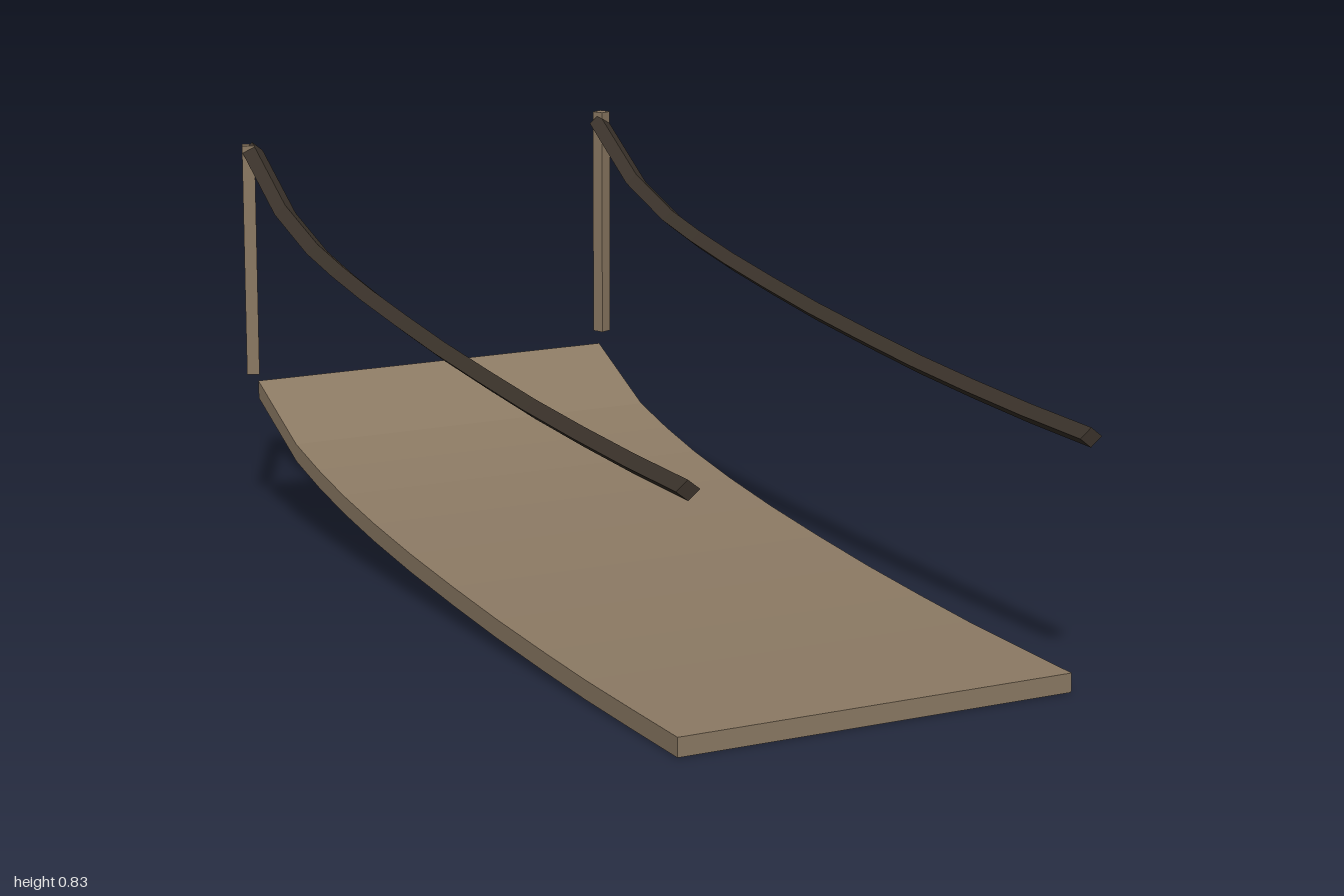
import * as THREE from 'three';

// Sweep a convex section (counter-clockwise, x/y) through [z, y] stations running front to back
function sweep(section, path) {
  const n = section.length, pos = [], idx = [];
  for (const [z, y] of path) for (const [sx, sy] of section) pos.push(sx, y + sy, z);
  for (let r = 0; r < path.length - 1; r++) {
    for (let i = 0; i < n; i++) {
      const a = r * n + i, b = r * n + (i + 1) % n, c = a + n, d = b + n;
      idx.push(a, c, b, b, c, d);
    }
  }
  const last = (path.length - 1) * n;
  for (let i = 1; i < n - 1; i++) {
    idx.push(0, i, i + 1);
    idx.push(last, last + i + 1, last + i);
  }
  const g = new THREE.BufferGeometry();
  g.setAttribute('position', new THREE.Float32BufferAttribute(pos, 3));
  g.setIndex(idx);
  return faceted(g);
}

// Flat facets with hard edges
function faceted(geometry) {
  const g = geometry.toNonIndexed();
  g.computeVertexNormals();
  return g;
}

export function createModel() {
  const model = new THREE.Group();
  const wood = new THREE.MeshStandardMaterial({ color: 0x8b7963 });
  wood.name = 'weathered wood';
  const dark = new THREE.MeshStandardMaterial({ color: 0x3a322a });
  dark.name = 'dark rail';

  const add = (name, geometry, material) => {
    const mesh = new THREE.Mesh(geometry, material);
    mesh.name = name;
    model.add(mesh);
    return mesh;
  };

  // Curved deck slab: stations give the top surface
  const deckPath = [[0.96, 0.04], [0.78, 0.043], [0.6, 0.047], [0.42, 0.055], [0.22, 0.066],
    [0.02, 0.081], [-0.18, 0.099], [-0.36, 0.12], [-0.52, 0.144], [-0.65, 0.17],
    [-0.77, 0.2], [-0.977, 0.298]];
  add('deck', sweep([[-0.418, -0.038], [0.418, -0.038], [0.418, 0], [-0.418, 0]], deckPath), wood);

  // Diamond-section handrails following the deck's rise
  const railPath = [[1, 0.501], [0.8, 0.504], [0.6, 0.511], [0.4, 0.521], [0.2, 0.536],
    [0, 0.553], [-0.18, 0.573], [-0.35, 0.594], [-0.5, 0.617], [-0.63, 0.642],
    [-0.8, 0.697], [-0.978, 0.806]];
  const diamond = [[0, -0.019], [0.024, 0], [0, 0.019], [-0.024, 0]];

  for (const side of [-1, 1]) {
    const label = side < 0 ? 'right' : 'left';
    add(label + 'Handrail', sweep(diamond, railPath), dark).position.x = side * 0.42;

    // Square post at the raised end, slightly twisted
    const post = new THREE.CylinderGeometry(0.019, 0.019, 0.504, 4, 1, false, -side * 0.4);
    add(label + 'Post', faceted(post), wood)
      .position.set(side * 0.4275, side < 0 ? 0.567 : 0.578, -0.982);
  }
  return model;
}
